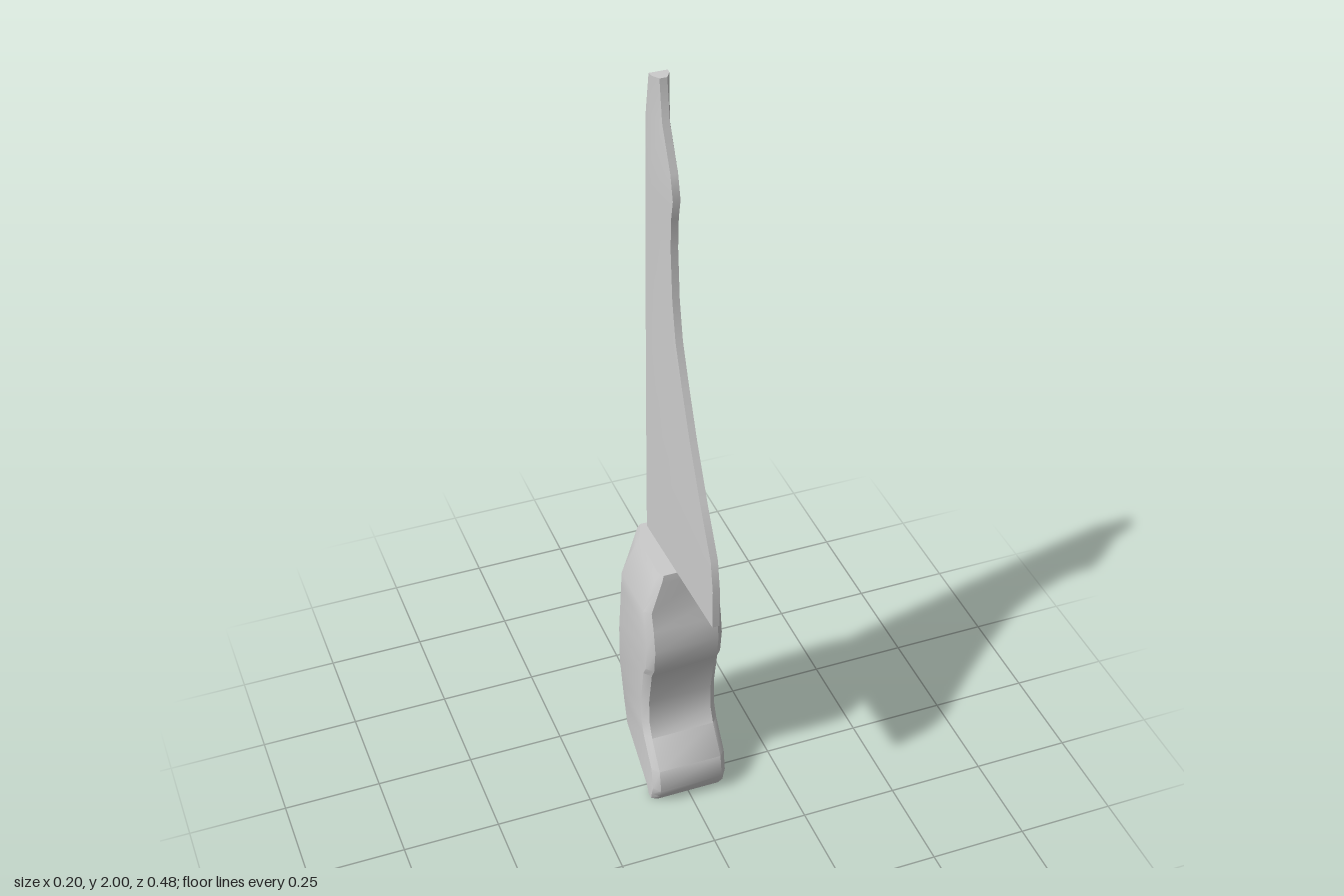
import * as THREE from 'three';
import { toCreasedNormals } from 'three/addons/utils/BufferGeometryUtils.js';

// Skin a stack of horizontal loops (bottom to top, counter-clockwise from above) and cap both ends
function loft(loops, crease) {
  const n = loops[0].length;
  const top = (loops.length - 1) * n;
  const index = [];
  for (let s = 0; s < loops.length - 1; s++) {
    for (let j = 0; j < n; j++) {
      const a = s * n + j, b = s * n + (j + 1) % n;
      index.push(a, b, b + n, a, b + n, a + n);
    }
  }
  for (let j = 1; j < n - 1; j++) {
    index.push(0, j + 1, j, top, top + j, top + j + 1);
  }
  const geometry = new THREE.BufferGeometry();
  geometry.setAttribute('position', new THREE.Float32BufferAttribute(loops.flat(2), 3));
  geometry.setIndex(index);
  return toCreasedNormals(geometry, crease);
}

// Complete a right-half outline [x, z], listed front to back, by mirroring it in x
function mirrorLoop(half, y) {
  const left = [...half].reverse().map(([x, z]) => [-x, y, z]);
  return [...half.map(([x, z]) => [x, y, z]), ...left];
}

// Blade stations: y, cutting edge z, spine z
const bladeStations = [
  [0.72, 0.24, -0.175], [0.83, 0.24, -0.175], [0.91, 0.225, -0.174],
  [1.03, 0.155, -0.172], [1.16, 0.088, -0.17], [1.28, 0.035, -0.168],
  [1.38, -0.005, -0.167], [1.48, -0.025, -0.165], [1.61, -0.035, -0.162],
  [1.69, -0.031, -0.16], [1.74, -0.02, -0.158], [1.8, -0.035, -0.156],
  [1.9, -0.085, -0.152], [2.0, -0.1, -0.132],
];

// Handle stations: y, front z, back z, half width
const handleStations = [
  [0, 0.06, 0.02, 0.1], [0.02, 0.072, -0.005, 0.1], [0.05, 0.085, -0.09, 0.1],
  [0.11, 0.075, -0.19, 0.1], [0.18, 0.02, -0.212, 0.1], [0.22, 0.002, -0.222, 0.1],
  [0.29, 0, -0.24, 0.1], [0.4, 0.022, -0.24, 0.1], [0.43, 0.04, -0.236, 0.1],
  [0.5, 0.05, -0.226, 0.1], [0.56, 0.04, -0.218, 0.1], [0.61, 0.026, -0.211, 0.1],
  [0.7, 0.025, -0.198, 0.067], [0.72, 0.022, -0.187, 0.06],
];

export function createModel() {
  const group = new THREE.Group();
  const material = new THREE.MeshStandardMaterial({ color: 0xcccccc });

  // Blade: thick flat spine tapering to a narrow edge
  const bladeLoops = bladeStations.map(([y, front, back]) => {
    const shoulder = back + Math.min(0.04, (front - back) * 0.4);
    return mirrorLoop([[0.009, front], [0.021, shoulder], [0.022, back]], y);
  });
  const blade = new THREE.Mesh(loft(bladeLoops, 0.7), material);
  blade.name = 'blade';

  // Handle: finger-grooved grip with a small front chamfer and a broad back chamfer
  const handleLoops = handleStations.map(([y, front, back, w]) => {
    const depth = front - back;
    const frontCut = Math.min(0.018, depth * 0.2), backCut = Math.min(0.062, depth * 0.35);
    return mirrorLoop([
      [w * 0.84, front], [w, front - frontCut], [w, back + backCut], [w * 0.6, back],
    ], y);
  });
  const handle = new THREE.Mesh(loft(handleLoops, 0.75), material);
  handle.name = 'handle';

  group.add(blade, handle);
  return group;
}
